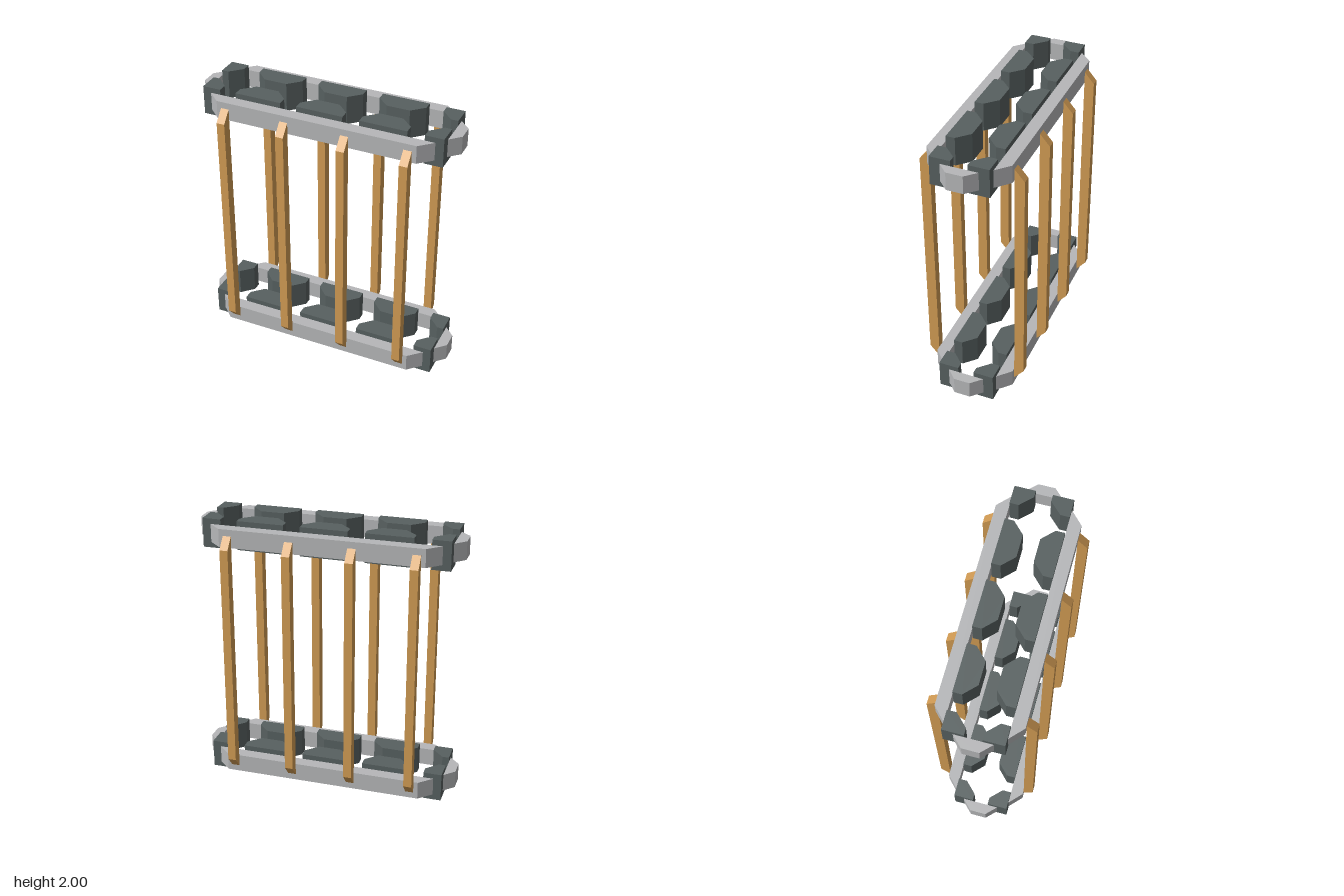
import * as THREE from 'three';

const material = (name, color) => {
  const m = new THREE.MeshStandardMaterial({ color });
  m.name = name;
  return m;
};

// Closed flat outline from a list of [u, v] points, extruded by depth
function prism(points, depth) {
  const shape = new THREE.Shape(points.map(([u, v]) => new THREE.Vector2(u, v)));
  return new THREE.ExtrudeGeometry(shape, { depth, bevelEnabled: false });
}

// Plan outline in x and z, standing between two heights
function slab(points, y0, y1) {
  return prism(points.map(([x, z]) => [x, -z]), y1 - y0).rotateX(-Math.PI / 2).translate(0, y0, 0);
}

export function createModel() {
  const model = new THREE.Group();
  model.name = 'frame';
  const grey = material('light grey', 0xb6b7b9);
  const dark = material('dark slate', 0x576060);
  const wood = material('tan wood', 0xd29c54);

  const add = (parent, name, geometry, mat) => {
    const mesh = new THREE.Mesh(geometry, mat);
    mesh.name = name;
    parent.add(mesh);
  };

  // Plan outlines for the positive side
  const rail = [[-0.835, 0.21], [0.835, 0.21], [0.74, 0.3], [-0.74, 0.3]];
  const endCap = [[0.895, -0.135], [0.97, -0.06], [0.97, 0.06], [0.895, 0.135]];
  const corner = [[0.76, 0.21], [0.895, 0.21], [0.895, 0.06], [0.845, 0.06], [0.76, 0.145]];
  const block = [[-0.172, 0.21], [0.172, 0.21], [0.172, 0.145], [0.085, 0.06], [-0.085, 0.06], [-0.172, 0.145]];
  const mirror = (points, sx, sz) => points.map(([x, z]) => [x * sx, z * sz]);

  // Lower and upper rings
  for (const [name, base] of [['lowerRing', 0], ['upperRing', 1.787]]) {
    const ring = new THREE.Group();
    ring.name = name;
    ring.position.y = base;
    model.add(ring);
    for (const s of [-1, 1]) {
      add(ring, 'sideRail', slab(mirror(rail, 1, s), 0.041, 0.174), grey);
      add(ring, 'endCap', slab(mirror(endCap, s, 1), 0.041, 0.174), grey);
      for (const sx of [-1, 1]) {
        add(ring, 'cornerBlock', slab(mirror(corner, sx, s), 0, 0.213), dark);
      }
      for (const cx of [-0.466, 0, 0.466]) {
        const points = mirror(block, 1, s).map(([x, z]) => [x + cx, z]);
        add(ring, 'innerBlock', slab(points, 0, 0.213), dark);
      }
    }
  }

  // Upright slats with slanted ends, on the front and the back
  const slat = [[0.3, 0.087], [0.372, 0.17], [0.372, 1.83], [0.3, 1.913]];
  for (const s of [-1, 1]) {
    for (const x of [-0.678, -0.226, 0.226, 0.678]) {
      const geometry = prism(slat.map(([z, y]) => [-z * s, y]), 0.06)
        .rotateY(Math.PI / 2).translate(x - 0.03, 0, 0);
      add(model, s > 0 ? 'frontSlat' : 'backSlat', geometry, wood);
    }
  }

  return model;
}
